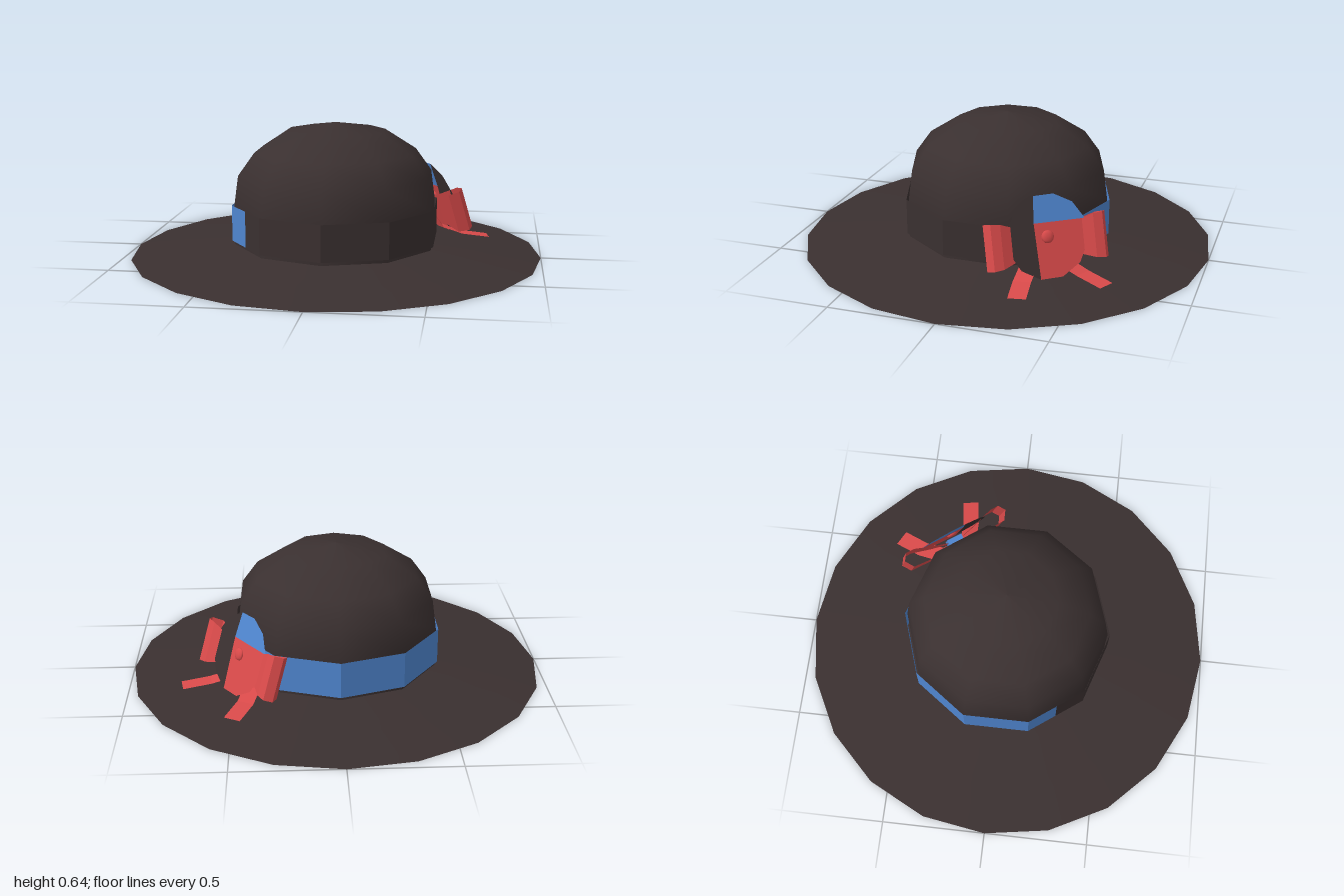
import * as THREE from 'three';

const material = (name, color) => new THREE.MeshStandardMaterial({ name, color, side: THREE.DoubleSide });

// Faceted ribbon through rows of [edgeA, edgeB] points
function strip(rows) {
  const pos = [];
  for (let i = 0; i < rows.length - 1; i++) {
    const [a, b] = rows[i], [c, d] = rows[i + 1];
    pos.push(...a, ...c, ...b, ...b, ...c, ...d);
  }
  const g = new THREE.BufferGeometry();
  g.setAttribute('position', new THREE.Float32BufferAttribute(pos, 3));
  g.computeVertexNormals();
  return g;
}

export function createModel() {
  const felt = material('dark felt', 0x3a3030);
  const blue = material('blue ribbon', 0x4f86d0);
  const red = material('red ribbon', 0xd94a4a);
  const model = new THREE.Group();
  model.name = 'hat';
  const add = (parent, name, geometry, mat) => {
    const mesh = new THREE.Mesh(geometry, mat);
    mesh.name = name;
    parent.add(mesh);
    return mesh;
  };
  const rad = THREE.MathUtils.degToRad;
  const vecs = (list) => list.map(([x, y]) => new THREE.Vector2(x, y));

  // Ten-sided crown, open underneath
  add(model, 'crown', new THREE.LatheGeometry(vecs([
    [0.5, 0.055], [0.5, 0.25], [0.48, 0.395], [0.4, 0.505], [0.245, 0.605], [0, 0.645],
  ]), 10), felt);

  // Twenty-sided brim whose inner edge follows the ten-sided crown
  const brim = new THREE.LatheGeometry(vecs([[1, 0], [0.75, 0.03], [0.5, 0.058]]), 20);
  const p = brim.attributes.position;
  for (let i = 0; i < p.count; i++) {
    const column = Math.floor(i / 3);
    if (i % 3 === 2 && column % 2) {
      p.setX(i, p.getX(i) * Math.cos(rad(18)));
      p.setZ(i, p.getZ(i) * Math.cos(rad(18)));
    }
  }
  add(model, 'brim', brim, felt);

  // Hat band, split into two halves behind the bow
  const band = (start) => strip([0, 18, 54, 90, 126, 162, 180].map((step) => {
    const r = 0.512 * (step % 180 ? 1 : Math.cos(rad(18)));
    const x = r * Math.sin(rad(start + step)), z = r * Math.cos(rad(start + step));
    return [[x, 0.25, z], [x, 0.075, z]];
  }));
  add(model, 'darkBand', band(-54), felt);
  add(model, 'blueBand', band(126), blue);

  // Bow facing outward, local z points away from the crown
  const bow = new THREE.Group();
  bow.name = 'bow';
  bow.rotation.y = rad(126);
  model.add(bow);
  const knotGroup = new THREE.Group();
  knotGroup.name = 'rosetteAndLoops';
  knotGroup.position.set(0, 0.225, 0.575);
  knotGroup.rotation.x = -0.33;
  bow.add(knotGroup);

  // Rosette disc in three colours
  const sector = (from, to) => {
    const pts = [[-0.06, 0.065]];
    const n = Math.round((to - from) / 30);
    for (let i = 0; i <= n; i++) {
      const a = rad(from + (to - from) * i / n);
      pts.push([0.195 * Math.cos(a), 0.195 * Math.sin(a)]);
    }
    return new THREE.ShapeGeometry(new THREE.Shape(vecs(pts)));
  };
  add(knotGroup, 'redRosettePanel', sector(255, 379), red);
  add(knotGroup, 'blueRosettePanel', sector(19, 105), blue);
  add(knotGroup, 'darkRosettePanel', sector(105, 255), felt);
  add(knotGroup, 'button', new THREE.SphereGeometry(0.03, 10, 6).scale(1, 1, 0.4), red);
  add(knotGroup, 'knot', new THREE.BoxGeometry(0.08, 0.09, 0.05), blue).position.set(0, -0.02, -0.045);

  for (const side of [-1, 1]) {
    // Flared ribbon loop: [along, outward, half height]
    add(knotGroup, 'loop', strip([
      [0.02, -0.04, 0.03], [0.12, -0.015, 0.065], [0.22, 0.015, 0.1], [0.265, 0.015, 0.105],
      [0.29, -0.02, 0.105], [0.26, -0.065, 0.1], [0.15, -0.07, 0.07], [0.02, -0.06, 0.03],
    ].map(([s, w, h]) => [[side * s, h - 0.02, w], [side * s, -h - 0.02, w]])), red);

    // Ribbon tail resting on the brim: [along, height, outward]
    add(bow, 'tail', strip([
      [0.03, 0.17, 0.53], [0.09, 0.085, 0.57], [0.145, 0.055, 0.645], [0.21, 0.038, 0.765],
    ].map(([s, y, z]) => [
      [side * (s - 0.037), y, z + 0.018], [side * (s + 0.037), y, z - 0.018],
    ])), red);
  }
  return model;
}
